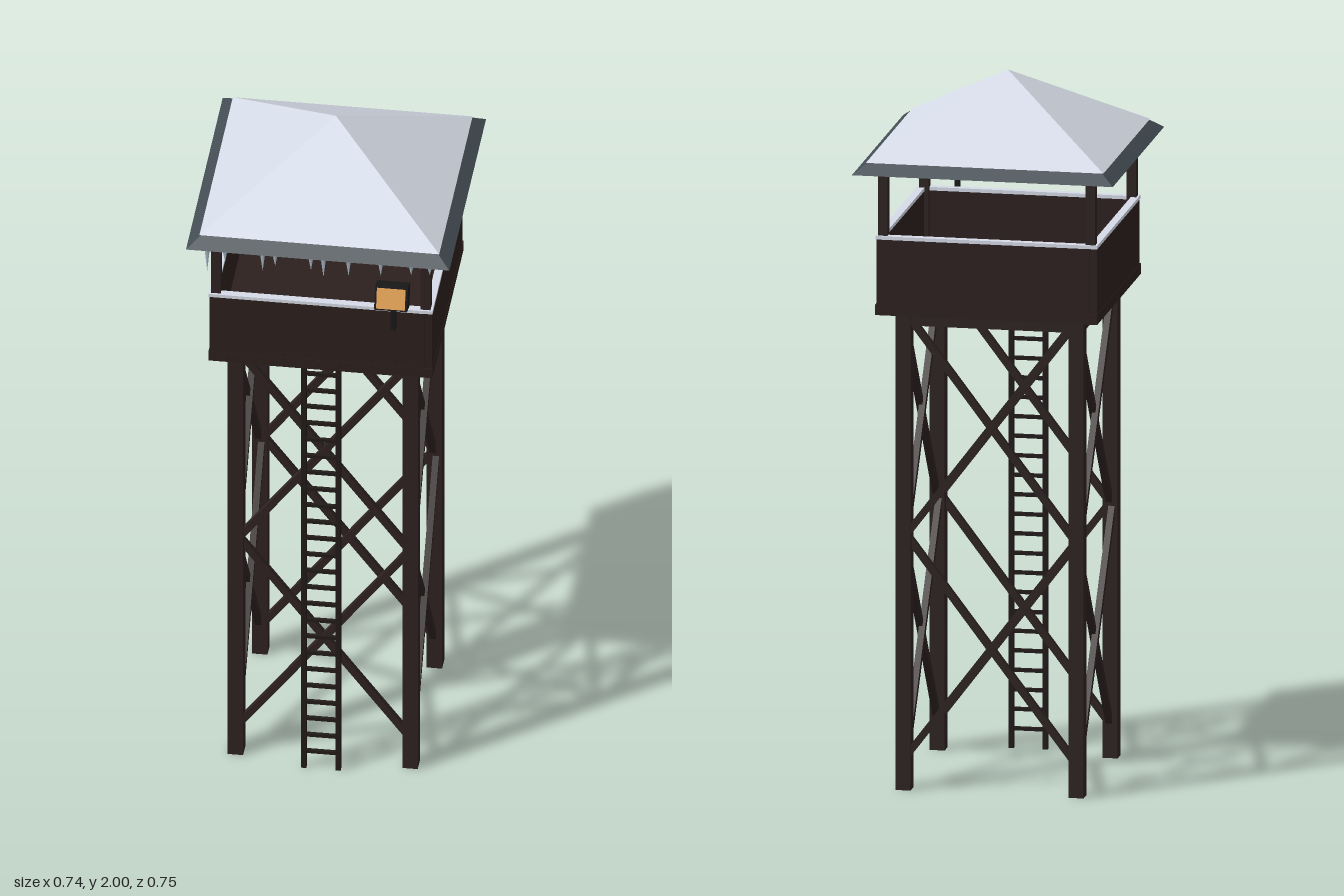
import * as THREE from 'three';

const mat = (name, color, extra = {}) => {
  const m = new THREE.MeshStandardMaterial({ color, ...extra });
  m.name = name;
  return m;
};

export function createModel() {
  const wood = mat('dark wood', 0x2e2222);
  const wall = mat('wall boards', 0x2c201e);
  const iron = mat('ladder wood', 0x211a19);
  const slate = mat('roof slate', 0x434d53, { flatShading: true });
  const snow = mat('snow', 0xd6dce8, { flatShading: true });
  const ice = mat('ice', 0xa9b8c4);
  const black = mat('lamp housing', 0x191919);
  const glow = mat('lamp glass', 0xe6a458);

  const tower = new THREE.Group();
  tower.name = 'watchtower';
  tower.position.z = -0.007;

  const add = (name, geo, m, x, y, z, parent = tower) => {
    const mesh = new THREE.Mesh(geo, m);
    mesh.name = name;
    mesh.position.set(x, y, z);
    parent.add(mesh);
    return mesh;
  };
  const box = (name, m, w, h, d, x, y, z, parent) =>
    add(name, new THREE.BoxGeometry(w, h, d), m, x, y, z, parent);

  // Square pyramid (or frustum) with sides parallel to x and z
  const pyramid = (name, m, half, top, y0, y1) => {
    const geo = new THREE.CylinderGeometry(top * Math.SQRT2, half * Math.SQRT2, y1 - y0, 4);
    geo.rotateY(Math.PI / 4);
    return add(name, geo, m, 0, (y0 + y1) / 2, 0);
  };

  // Legs and roof posts
  const leg = 0.244, post = 0.293;
  for (const sx of [-1, 1]) for (const sz of [-1, 1]) {
    box('leg', wood, 0.043, 1.36, 0.043, sx * leg, 0.68, sz * leg);
    box('roofPost', wood, 0.027, 0.41, 0.027, sx * post, 1.58, sz * post);
  }

  // Four identical sides: beam, cross braces, parapet and its snow cap
  for (let i = 0; i < 4; i++) {
    const side = new THREE.Group();
    side.name = 'towerSide';
    side.rotation.y = i * Math.PI / 2;
    tower.add(side);
    box('floorBeam', wood, 0.46, 0.04, 0.035, 0, 1.342, leg, side);
    for (const yc of [0.408, 1.038]) for (const s of [-1, 1]) {
      const dx = 0.47, dy = 0.62;
      const brace = box('crossBrace', wood, Math.hypot(dx, dy), 0.02, 0.018,
        0, yc, leg + s * 0.004, side);
      brace.rotation.z = s * Math.atan2(dy, dx);
    }
    box('parapet', wall, 0.6, 0.185, 0.02, -0.01, 1.4825, 0.302, side);
    box('parapetSnow', snow, 0.604, 0.01, 0.022, -0.01, 1.58, 0.302, side);
  }
  box('floor', wall, 0.626, 0.03, 0.626, 0, 1.375, 0);

  // Roof with a layer of snow
  pyramid('roofEave', slate, 0.368, 0.33, 1.768, 1.797);
  pyramid('roofSnow', snow, 0.335, 0, 1.797, 2.0);

  // Icicles along the front eave: [x, length]
  const icicles = [[-0.31, 0.075], [-0.26, 0.04], [-0.155, 0.06], [-0.12, 0.04], [-0.02, 0.045],
    [0.015, 0.065], [0.085, 0.055], [0.175, 0.045], [0.26, 0.035], [0.312, 0.03]];
  for (const [x, len] of icicles) {
    const cone = new THREE.ConeGeometry(0.008, len, 6);
    cone.rotateX(Math.PI);
    add('icicle', cone, ice, x, 1.77 - len / 2, 0.358);
  }

  // Ladder
  const ladderZ = 0.296;
  for (const s of [-1, 1])
    box('ladderRail', iron, 0.014, 1.36, 0.014, s * 0.048, 0.68, ladderZ);
  for (let i = 0; i < 24; i++)
    box('ladderRung', iron, 0.096, 0.01, 0.01, 0, 0.055 + i * 0.0555, ladderZ);

  // Searchlight on a short stand, tilted slightly upwards
  box('lampStand', black, 0.014, 0.12, 0.014, 0.205, 1.58, 0.317);
  const lamp = new THREE.Group();
  lamp.name = 'searchlight';
  lamp.position.set(0.205, 1.65, 0.345);
  lamp.rotation.x = -0.28;
  tower.add(lamp);
  box('lampHousing', black, 0.092, 0.07, 0.05, 0, 0, 0, lamp);
  box('lampGlass', glow, 0.08, 0.06, 0.006, 0, 0, 0.026, lamp);

  const model = new THREE.Group();
  model.name = 'model';
  model.add(tower);
  return model;
}
